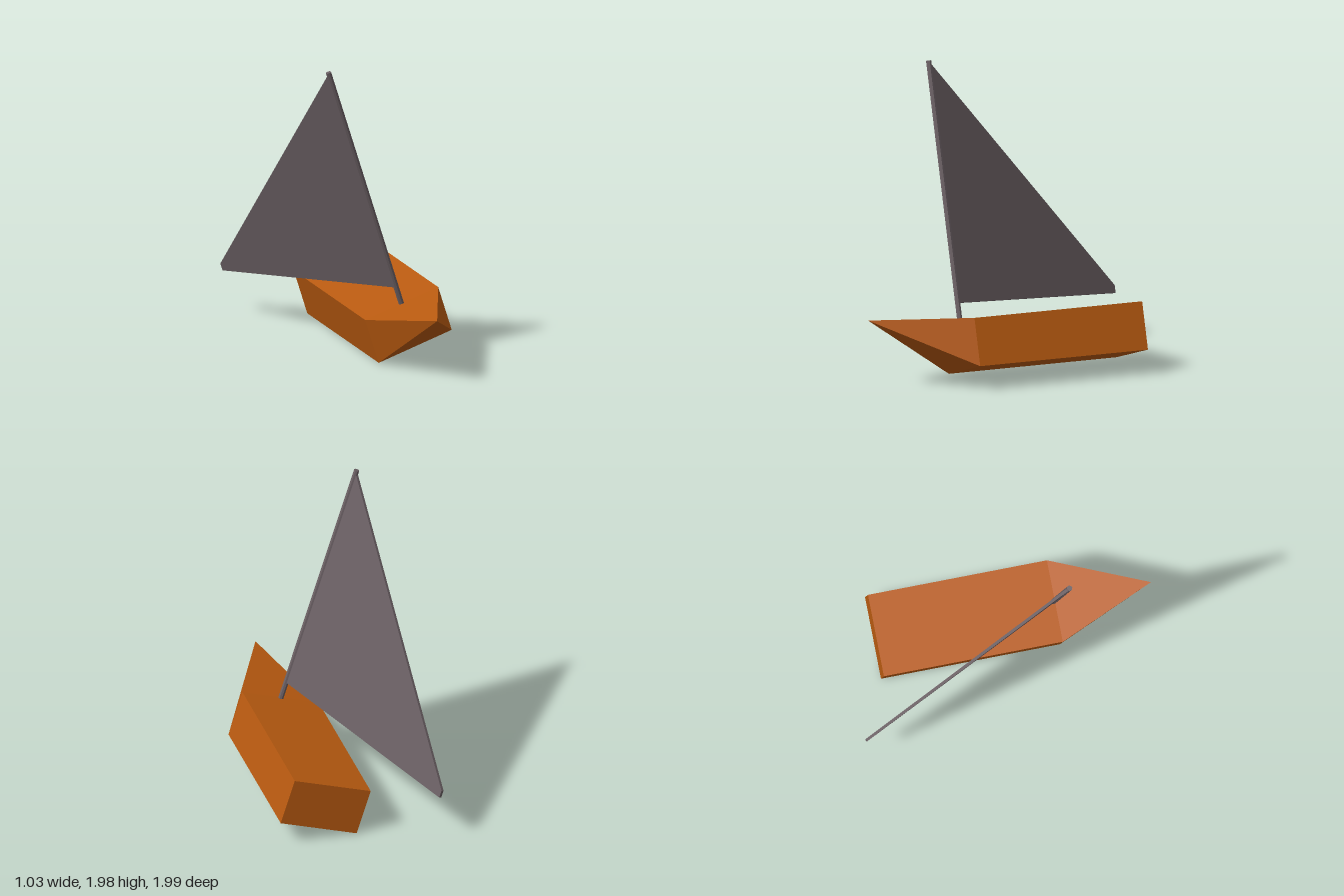
import * as THREE from 'three';

export function createModel() {
  const orange = new THREE.MeshStandardMaterial({ color: 0xb85a10 });
  orange.name = 'orange hull';
  const grey = new THREE.MeshStandardMaterial({ color: 0x6b6064 });
  grey.name = 'grey rigging';

  const boat = new THREE.Group();
  boat.name = 'sailboat';
  const add = (name, geometry, material) => {
    const mesh = new THREE.Mesh(geometry, material);
    mesh.name = name;
    boat.add(mesh);
    return mesh;
  };

  // Hull: a box section run from the transom to the shoulders, closing to a raised bow point
  const w = 0.265, h = 0.311, mastZ = 0.367;
  const section = (z) => [-w, 0, z, w, 0, z, w, h, z, -w, h, z];
  const points = [...section(-0.79), ...section(0.375), 0, 0.375, 0.997];
  const faces = [0, 2, 1, 0, 3, 2];
  for (let i = 0; i < 4; i++) {
    const j = (i + 1) % 4;
    faces.push(i, j, j + 4, i, j + 4, i + 4, i + 4, j + 4, 8);
  }
  const indexed = new THREE.BufferGeometry();
  indexed.setAttribute('position', new THREE.Float32BufferAttribute(points, 3));
  indexed.setIndex(faces);
  const hull = indexed.toNonIndexed();
  hull.computeVertexNormals();
  add('hull', hull, orange);

  // Mast
  const mastTop = 1.99;
  const mast = new THREE.CylinderGeometry(0.018, 0.018, mastTop - 0.29, 8).toNonIndexed();
  mast.computeVertexNormals();
  add('mast', mast, grey).position.set(0, (mastTop + 0.29) / 2, mastZ);

  // Sail: thin plate with a clipped outer corner, swung out from the mast
  const outline = new THREE.Shape([[0, 0.43], [1.505, 0.43], [1.505, 0.48], [0, 1.978]]
    .map(([x, y]) => new THREE.Vector2(x, y)));
  const thickness = 0.018;
  const sail = new THREE.ExtrudeGeometry(outline, { depth: thickness, bevelEnabled: false });
  sail.translate(0, 0, -thickness / 2);
  const sailMesh = add('sail', sail, grey);
  sailMesh.position.z = mastZ;
  sailMesh.rotation.y = THREE.MathUtils.degToRad(115.6);

  // Heel the whole boat over to one side
  boat.rotation.z = THREE.MathUtils.degToRad(17.5);
  boat.position.set(0.253, 0.08, 0);

  const model = new THREE.Group();
  model.name = 'heelingSailboat';
  model.add(boat);
  return model;
}
